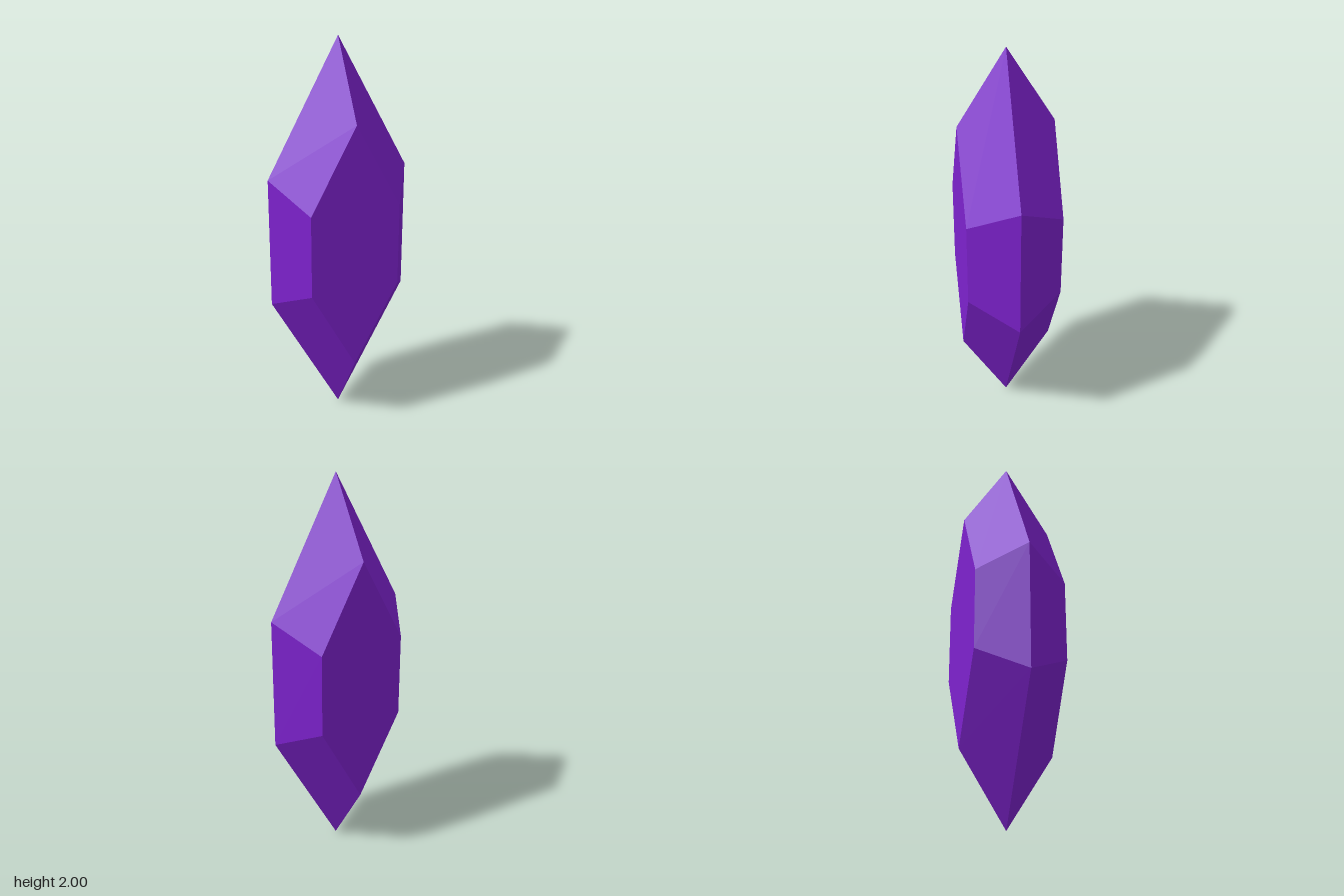
import * as THREE from 'three';

// Elongated hexagon, measured from the crystal's centre, counterclockwise from the front
const OUTLINE = [[0, 1], [-0.362, 0.333], [-0.362, -0.333], [0, -1], [0.362, -0.333], [0.362, 0.333]];
const FACE_SCALE = 0.63;
const HALF_DEPTH = 0.235;

const ring = (scale, z) => OUTLINE.map(([x, y]) => [x * scale, 1 + y * scale, z]);

function crystalGeometry() {
  const front = ring(FACE_SCALE, HALF_DEPTH);
  const girdle = ring(1, 0);
  const back = ring(FACE_SCALE, -HALF_DEPTH);
  const positions = [];
  const tri = (a, b, c) => positions.push(...a, ...b, ...c);

  // Bevel facets between neighbouring sections
  for (const [near, far] of [[front, girdle], [girdle, back]]) {
    for (let i = 0; i < 6; i++) {
      const j = (i + 1) % 6;
      tri(near[i], far[i], far[j]);
      tri(near[i], far[j], near[j]);
    }
  }
  // Flat front and back tables
  for (let i = 1; i < 5; i++) {
    tri(front[0], front[i], front[i + 1]);
    tri(back[0], back[i + 1], back[i]);
  }

  const geometry = new THREE.BufferGeometry();
  geometry.setAttribute('position', new THREE.Float32BufferAttribute(positions, 3));
  geometry.computeVertexNormals(); // unshared corners keep each facet flat
  return geometry;
}

export function createModel() {
  const purple = new THREE.MeshStandardMaterial({ color: 0x7e22ce });
  purple.name = 'purple';

  const crystal = new THREE.Mesh(crystalGeometry(), purple);
  crystal.name = 'crystal';

  const model = new THREE.Group();
  model.name = 'cutGem';
  model.add(crystal);
  return model;
}
